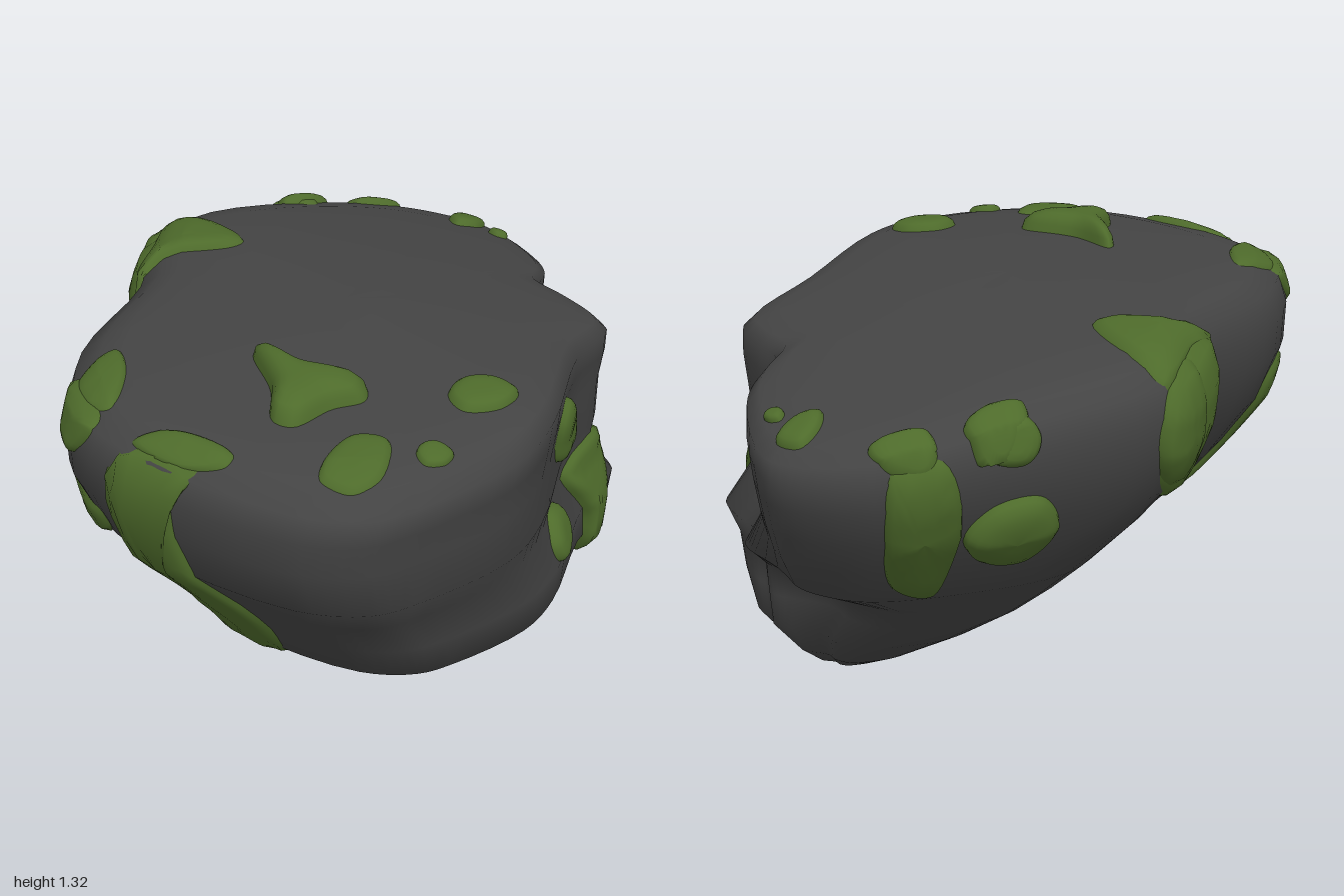
import * as THREE from 'three';

const rockMat = new THREE.MeshStandardMaterial({ color: 0x444444 });
rockMat.name = 'dark rock';
const mossMat = new THREE.MeshStandardMaterial({ color: 0x4e6b2b });
mossMat.name = 'green moss';

// Skin a list of equal-length closed rings of Vector3
function loft(rings) {
  const n = rings[0].length, index = [];
  for (let i = 0; i < rings.length - 1; i++)
    for (let j = 0; j < n; j++) {
      const a = i * n + j, b = i * n + (j + 1) % n, c = a + n, d = b + n;
      index.push(a, c, b, b, c, d);
    }
  const g = new THREE.BufferGeometry().setFromPoints(rings.flat());
  g.setIndex(index);
  g.computeVertexNormals();
  return g;
}

// Smooth closed curve through [a, b] pairs
function closedCurve(pairs, count) {
  const c = new THREE.CatmullRomCurve3(pairs.map(([a, b]) => new THREE.Vector3(a, b, 0)), true);
  return c.getPoints(count).slice(0, count).map(p => [p.x, p.y]);
}

// Plan outline (x, z) at the widest level
const OUTLINE = [
  [-0.57, -1], [-0.23, -0.92], [-0.11, -0.85], [0, -0.74], [0.17, -0.74], [0.35, -0.71], [0.51, -0.45],
  [0.82, -0.09], [0.93, 0.13], [0.95, 0.49], [0.92, 0.63], [0.77, 0.79], [0.27, 0.97], [0, 0.97],
  [-0.31, 0.77], [-0.57, 0.4], [-0.75, 0.26], [-0.93, 0.04], [-0.93, -0.4], [-0.84, -0.79], [-0.71, -0.94],
];

// Levels: y, xMin, xMax, zMin, zMax
const LEVELS = [
  [0, 0.17, 0.23, -0.46, -0.34], [0.04, 0.08, 0.27, -0.56, -0.24], [0.12, -0.08, 0.32, -0.65, -0.1],
  [0.25, -0.29, 0.45, -0.76, 0.24], [0.36, -0.44, 0.63, -0.77, 0.44], [0.46, -0.55, 0.77, -0.78, 0.58],
  [0.58, -0.7, 0.8, -0.88, 0.68], [0.72, -0.79, 0.83, -0.92, 0.8], [0.85, -0.88, 0.92, -0.96, 0.91],
  [1, -0.93, 0.925, -0.99, 0.965], [1.12, -0.94, 0.95, -1, 0.975], [1.21, -0.92, 0.955, -0.99, 0.95],
  [1.25, -0.86, 0.89, -0.94, 0.86],
];

// Gently domed top that falls away toward the back
const topY = (x, z) => 1.265 - 0.21 * Math.max(0, -z) ** 1.5 - 0.06 * x * x - 0.05 * Math.max(0, z - 0.3);

function rockGeometry() {
  const { smoothstep, mapLinear } = THREE.MathUtils;
  const outline = closedCurve(OUTLINE, 84);
  const rings = LEVELS.map(([y, x0, x1, z0, z1]) => {
    // Lower down, the back lobe recedes and leaves the nose standing
    const w = 1 - smoothstep(y, 0.35, 0.8);
    const pts = outline.map(([x, z]) => [x, z < 0 ? z * (1 - w * 0.45 * smoothstep(-x, -0.1, 0.5)) : z]);
    const xs = pts.map(p => p[0]), zs = pts.map(p => p[1]);
    const xa = Math.min(...xs), xb = Math.max(...xs), za = Math.min(...zs), zb = Math.max(...zs);
    return pts.map(([px, pz]) => {
      const x = mapLinear(px, xa, xb, x0, x1);
      let z = mapLinear(pz, za, zb, z0, z1);
      const k = 1 - (1 - topY(x, z) / 1.265) * (y / 1.265) ** 2;
      // Hollow in the front face
      if (pz > 0.5) z -= 0.11 * Math.exp(-(((x - 0.06) / 0.14) ** 2) - ((y - 0.64) / 0.14) ** 2);
      return new THREE.Vector3(x, y * k, z);
    });
  });
  // Close the foot and the top
  const rim = rings[rings.length - 1];
  rings.unshift(rings[0].map(() => new THREE.Vector3(0.2, 0, -0.4)));
  for (const s of [0.9, 0.7, 0.45, 0.2, 0])
    rings.push(rim.map(p => new THREE.Vector3(p.x * s, topY(p.x * s, p.z * s), p.z * s)));
  return loft(rings);
}

// Each side: direction outward, point on its plane from (a, b), handedness
const SIDES = {
  front: { dir: [0, 0, 1], at: (a, b) => [a, b, 0], sign: 1 },
  right: { dir: [1, 0, 0], at: (a, b) => [0, b, a], sign: -1 },
  left: { dir: [-1, 0, 0], at: (a, b) => [0, b, a], sign: 1 },
  top: { dir: [0, 1, 0], at: (a, b) => [a, 0, b], sign: -1 },
};

// Pillow of moss: an outline dropped onto the rock and raised off it
function mossGeometry(rock, side, pairs, height) {
  const { dir, at, sign } = SIDES[side];
  const out = new THREE.Vector3(...dir), ray = new THREE.Raycaster();
  let pts = closedCurve(pairs, 48);
  if (THREE.ShapeUtils.area(pts.map(([x, y]) => ({ x, y }))) * sign < 0) pts = pts.reverse();
  const c = [0, 1].map(k => pts.reduce((s, p) => s + p[k], 0) / pts.length);
  const rings = [0, 0.2, 0.4, 0.6, 0.78, 0.92, 1].map(t => pts.map(([a, b]) => {
    const rise = height * (1.3 * Math.sqrt(1 - t ** 4) - 0.3);
    // Points that miss the rock slide inward until they land on it
    for (let s = t; ; s *= 0.97) {
      const p = new THREE.Vector3(...at(c[0] + (a - c[0]) * s, c[1] + (b - c[1]) * s));
      ray.set(p.clone().addScaledVector(out, 3), out.clone().negate());
      const hit = ray.intersectObject(rock)[0];
      if (hit) return hit.point.clone().addScaledVector(hit.normal, rise);
      if (s < 0.01) return p;
    }
  }));
  return loft(rings);
}

// Slightly uneven oval outline
const oval = (a, b, ra, rb) => [0, 1, 2, 3, 4, 5].map(i =>
  [a + ra * Math.cos(i * Math.PI / 3), b + rb * Math.sin(i * Math.PI / 3) * (i % 2 ? 1.15 : 1)]);

export function createModel() {
  const group = new THREE.Group();
  group.name = 'mossyRock';
  const rock = new THREE.Mesh(rockGeometry(), rockMat);
  rock.name = 'rock';
  group.add(rock);
  const addMoss = (name, side, pairs, height) => {
    const moss = new THREE.Mesh(mossGeometry(rock, side, pairs, height), mossMat);
    moss.name = name;
    group.add(moss);
  };

  // Front: long stripe, heart-shaped patch and rim patch
  addMoss('frontStripeMoss', 'front', [[0.24, 1.19], [0.5, 1.2], [0.45, 1.08], [0.46, 0.85], [0.48, 0.62],
    [0.38, 0.4], [0.29, 0.41], [0.16, 0.39], [0.18, 0.51], [0.27, 0.56], [0.2, 0.79]], 0.028);
  addMoss('frontStripeTopMoss', 'top', [[0.25, 0.91], [0.32, 0.81], [0.52, 0.75], [0.54, 0.79], [0.44, 0.88]], 0.02);
  addMoss('frontHeartMoss', 'front', [[-0.28, 0.85], [-0.28, 0.92], [-0.19, 0.96], [-0.03, 0.91], [0.12, 0.92],
    [0.13, 0.86], [-0.06, 0.72], [-0.1, 0.54], [-0.17, 0.54], [-0.22, 0.7]], 0.03);
  addMoss('frontRimMoss', 'front', [[-0.15, 1.19], [0.12, 1.19], [0.04, 1.08], [-0.03, 1.06], [-0.1, 1.1]], 0.02);
  addMoss('frontRimTopMoss', 'top', [[-0.16, 0.7], [-0.02, 0.75], [0.1, 0.88], [0.04, 0.91], [-0.12, 0.85]], 0.018);

  // Large patch wrapping the front corner
  addMoss('cornerFrontMoss', 'front', [[-0.92, 1.1], [-0.85, 1.19], [-0.6, 1.22], [-0.62, 1.05], [-0.69, 0.93],
    [-0.71, 0.82], [-0.79, 0.8], [-0.89, 0.92]], 0.035);
  addMoss('cornerTopMoss', 'top', [[-0.9, 0.03], [-0.53, 0], [-0.51, 0.06], [-0.6, 0.25], [-0.6, 0.37],
    [-0.72, 0.23]], 0.03);
  addMoss('cornerSideMoss', 'left', oval(0.12, 1.02, 0.11, 0.18), 0.04);

  // Top
  addMoss('topTriangleMoss', 'top', [[0.11, 0.4], [0.28, 0.37], [0.46, 0.27], [0.53, 0.32], [0.51, 0.42],
    [0.52, 0.56], [0.46, 0.59], [0.32, 0.5], [0.13, 0.43]], 0.065);
  addMoss('topRoundMoss', 'top', oval(0.67, 0.03, 0.09, 0.1), 0.03);
  addMoss('topDotMoss', 'top', oval(0.83, 0.32, 0.05, 0.05), 0.02);
  addMoss('topBeanMoss', 'top', [[0.64, 0.44], [0.71, 0.38], [0.84, 0.5], [0.84, 0.6], [0.75, 0.64], [0.68, 0.57]], 0.02);
  addMoss('backTopMoss', 'top', [[-0.62, -0.91], [-0.53, -0.95], [-0.47, -0.87], [-0.49, -0.8], [-0.57, -0.83]], 0.025);
  addMoss('backDotMoss', 'top', oval(-0.4, -0.9, 0.04, 0.025), 0.02);

  // Left side
  addMoss('leftRimMoss', 'top', [[-0.88, -0.63], [-0.82, -0.77], [-0.76, -0.78], [-0.76, -0.69], [-0.8, -0.62]], 0.025);
  addMoss('leftStripeMoss', 'left', [[-0.61, 1.06], [-0.75, 1.03], [-0.68, 0.62], [-0.55, 0.57]], 0.025);
  addMoss('leftRoundMoss', 'top', oval(-0.87, -0.45, 0.06, 0.09), 0.035);
  addMoss('leftRoundSideMoss', 'left', oval(-0.43, 1.09, 0.09, 0.07), 0.03);
  addMoss('leftLowMoss', 'left', oval(-0.4, 0.81, 0.14, 0.11), 0.055);

  // Right side
  addMoss('rightUpperMoss', 'right', [[-0.25, 1.05], [-0.3, 1.11], [-0.37, 1.06], [-0.45, 0.94], [-0.44, 0.87],
    [-0.36, 0.87], [-0.27, 0.91]], 0.04);
  addMoss('rightDotMoss', 'right', oval(-0.32, 0.645, 0.07, 0.068), 0.035);
  addMoss('rightTriangleMoss', 'right', [[-0.45, 0.72], [-0.5, 0.76], [-0.7, 0.76], [-0.72, 0.7], [-0.64, 0.38],
    [-0.59, 0.36], [-0.56, 0.55]], 0.045);
  return group;
}
